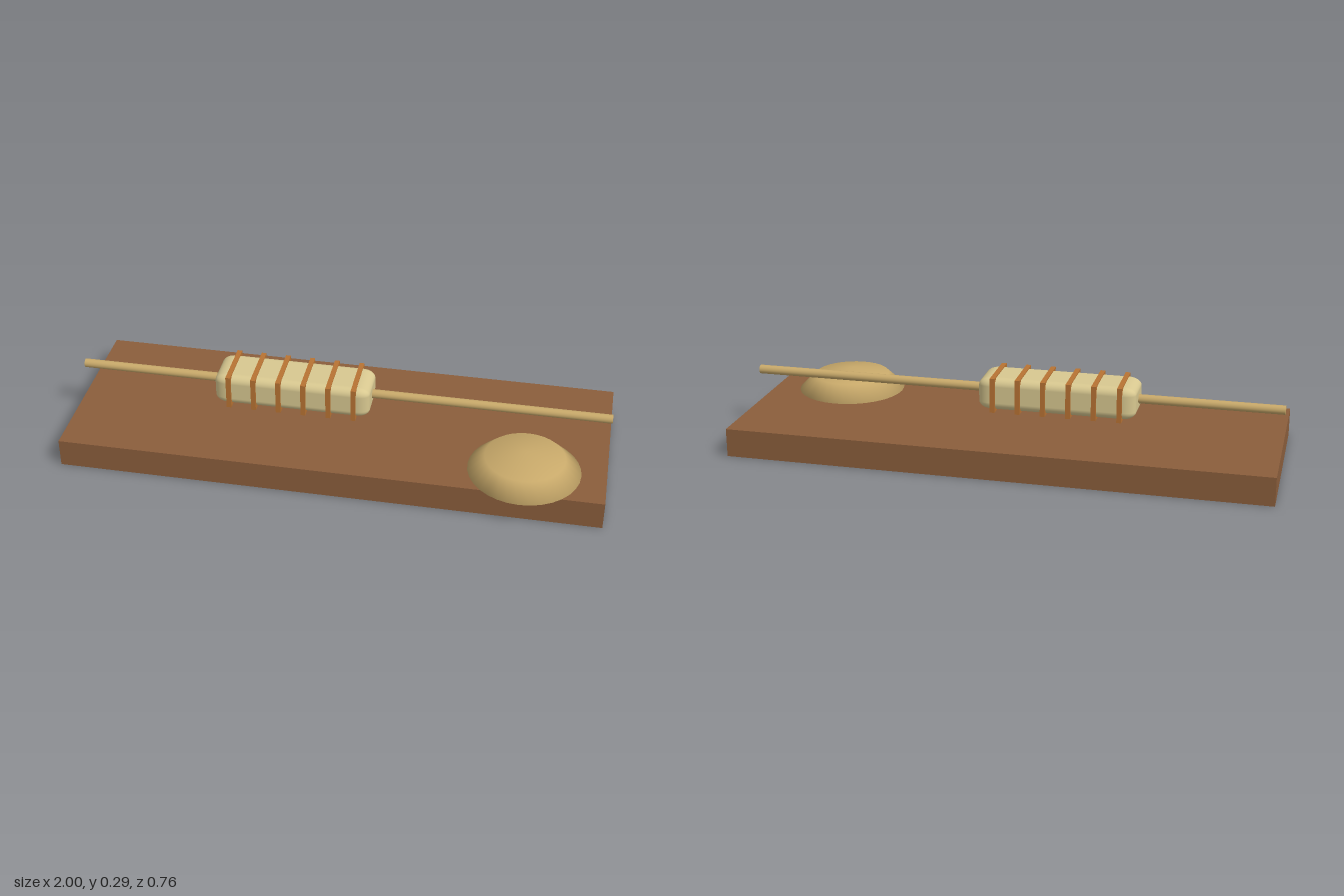
import * as THREE from 'three';
import { RoundedBoxGeometry } from 'three/addons/geometries/RoundedBoxGeometry.js';

const makeMaterial = (name, color, side = THREE.FrontSide) => {
  const material = new THREE.MeshStandardMaterial({ color, side });
  material.name = name;
  return material;
};

export function createModel() {
  const model = new THREE.Group();
  model.name = 'mountedComponent';

  const wood = makeMaterial('brown wood', 0x8b5e3c);
  const tan = makeMaterial('tan', 0xc8a96a, THREE.DoubleSide);
  const cream = makeMaterial('cream', 0xd8c890);
  const copper = makeMaterial('copper', 0xb87333);

  const add = (name, geometry, material, x, y, z, parent = model) => {
    const mesh = new THREE.Mesh(geometry, material);
    mesh.name = name;
    mesh.position.set(x, y, z);
    parent.add(mesh);
    return mesh;
  };

  // Base board
  add('baseBoard', new THREE.BoxGeometry(2, 0.106, 0.704), wood, 0, 0.053, -0.029);

  // Flattened dome overhanging the front edge
  const dome = new THREE.SphereGeometry(0.205, 32, 2, 0, Math.PI * 2, 0, Math.PI / 2);
  dome.scale(1, 0.4, 1);
  add('dome', dome, tan, 0.704, 0.1065, 0.177);

  // Wire, body and bands share one axis
  const component = new THREE.Group();
  component.name = 'bandedComponent';
  component.position.set(0, 0.2245, -0.029);
  model.add(component);

  const wire = new THREE.CylinderGeometry(0.0168, 0.0168, 2, 16);
  wire.rotateZ(Math.PI / 2);
  add('wire', wire, tan, 0, 0, 0, component);

  // Body with corners stretched along its length
  const body = new RoundedBoxGeometry(0.366, 0.122, 0.175, 4, 0.03);
  body.scale(1.6, 1, 1);
  add('body', body, cream, -0.178, 0, 0, component);

  // Square bands around the body
  const band = new THREE.BoxGeometry(0.018, 0.131, 0.192);
  for (let i = 0; i < 6; i++) {
    add('band' + (i + 1), band, copper, -0.414 + i * 0.0942, 0, 0, component);
  }

  return model;
}
